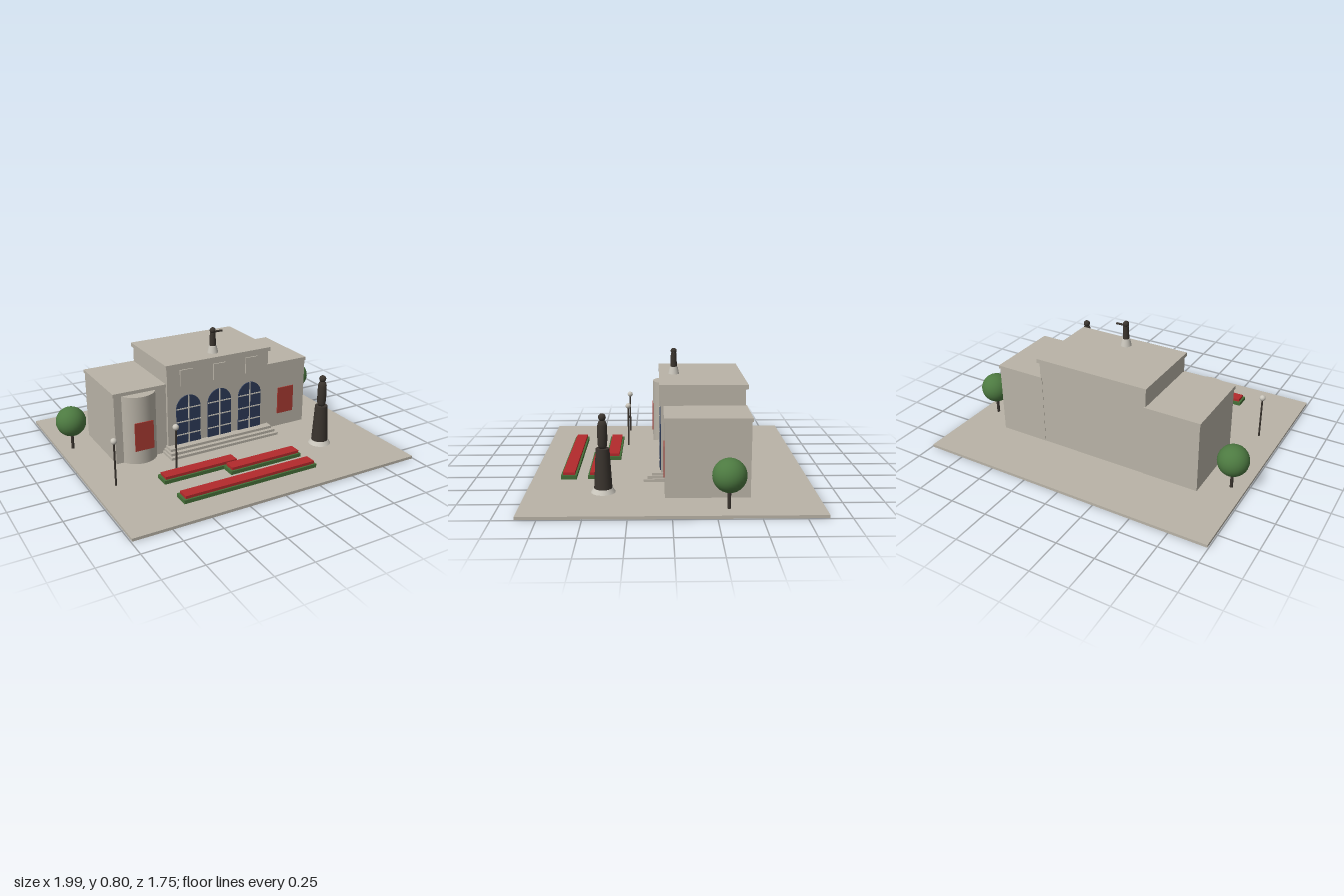
import * as THREE from 'three';

const mat = (name, color) => {
  const m = new THREE.MeshStandardMaterial({ color });
  m.name = name;
  return m;
};

export function createModel() {
  const stone = mat('stone', 0xb9b3a7);
  const paleStone = mat('pale stone', 0xcac6bc);
  const glass = mat('navy glass', 0x2d3b58);
  const bronze = mat('dark bronze', 0x3a342e);
  const banner = mat('banner red', 0xa83a32);
  const flower = mat('flower red', 0xb32a2c);
  const hedge = mat('hedge green', 0x456f38);
  const leaf = mat('leaf green', 0x4d7a41);
  const root = new THREE.Group();
  root.name = 'civicHall';

  const add = (name, geo, material, parent = root) => {
    const m = new THREE.Mesh(geo, material);
    m.name = name;
    parent.add(m);
    return m;
  };
  // Box given by its lower and upper corners
  const box = (name, material, x0, x1, y0, y1, z0, z1, parent = root) => {
    const m = add(name, new THREE.BoxGeometry(x1 - x0, y1 - y0, z1 - z0), material, parent);
    m.position.set((x0 + x1) / 2, (y0 + y1) / 2, (z0 + z1) / 2);
    return m;
  };
  // Upright tapered cylinder from y0 to y1
  const post = (name, material, rTop, rBottom, y0, y1, parent, sides = 24) => {
    const m = add(name, new THREE.CylinderGeometry(rTop, rBottom, y1 - y0, sides), material, parent);
    m.position.y = (y0 + y1) / 2;
    return m;
  };
  const ball = (name, material, r, y, parent) => {
    const m = add(name, new THREE.SphereGeometry(r, 28, 18), material, parent);
    m.position.y = y;
    return m;
  };
  const groupAt = (name, x, z) => {
    const g = new THREE.Group();
    g.name = name;
    g.position.set(x, 0, z);
    root.add(g);
    return g;
  };

  // Plaza
  box('plaza', stone, -0.993, 0.993, 0, 0.018, -0.873, 0.873);

  // Central hall, side wings and their cornices
  box('hall', stone, -0.38, 0.382, 0.018, 0.607, -0.465, 0.06);
  box('hallCornice', stone, -0.39, 0.395, 0.605, 0.632, -0.479, 0.07);
  for (const [side, x0, x1] of [['right', -0.738, -0.37], ['left', 0.37, 0.705]]) {
    box(side + 'Wing', stone, x0, x1, 0.018, 0.48, -0.467, 0.039);
    const out = side === 'right' ? [x0 - 0.006, x1] : [x0, x1 + 0.006];
    box(side + 'WingCornice', stone, out[0], out[1], 0.478, 0.5, -0.473, 0.044);
  }

  // Rounded bay and red banners
  const bay = groupAt('roundedBay', -0.57, -0.018);
  post('bayWall', stone, 0.13, 0.13, 0.018, 0.476, bay, 48);
  box('bayBanner', banner, -0.635, -0.506, 0.115, 0.307, 0.11, 0.117);
  box('wingBanner', banner, 0.483, 0.612, 0.115, 0.307, 0.039, 0.046);

  // Front steps
  [[0.41, 0.168, 0.035], [0.4, 0.143, 0.052], [0.388, 0.115, 0.069]].forEach(([w, z, y], i) =>
    box('step' + (i + 1), stone, -w, w, 0.018, y, 0.03, z));

  // Arched windows with glazing bars, and the panels above
  const r = 0.088, sill = 0.069, spring = 0.318;
  const arch = new THREE.Shape();
  arch.moveTo(-r, sill);
  arch.lineTo(r, sill);
  arch.lineTo(r, spring);
  arch.absarc(0, spring, r, 0, Math.PI, false);
  arch.closePath();
  const paneGeo = new THREE.ExtrudeGeometry(arch, { depth: 0.007, bevelEnabled: false, curveSegments: 24 });
  for (const x of [-0.231, 0.002, 0.237]) {
    const g = groupAt('archedWindow', x, 0.06);
    add('windowPane', paneGeo, glass, g);
    box('verticalBar', paleStone, -0.004, 0.004, sill, spring + r, 0.004, 0.01, g);
    for (const y of [0.135, 0.226, 0.318]) {
      box('horizontalBar', paleStone, -r, r, y - 0.004, y + 0.004, 0.004, 0.01, g);
    }
  }
  for (const x of [-0.242, 0.002, 0.248]) {
    box('facadePanel', stone, x - 0.046, x + 0.046, 0.474, 0.585, 0.06, 0.069);
  }

  // Rooftop statue with outstretched arm
  const roofStatue = groupAt('roofStatue', 0.002, -0.028);
  post('roofPlinth', paleStone, 0.026, 0.036, 0.632, 0.68, roofStatue);
  post('roofFigure', bronze, 0.019, 0.021, 0.68, 0.768, roofStatue);
  ball('roofHead', bronze, 0.02, 0.783, roofStatue);
  const arm = add('roofArm', new THREE.CylinderGeometry(0.007, 0.007, 0.07, 12), bronze, roofStatue);
  arm.rotation.z = Math.PI / 2;
  arm.position.set(0.035, 0.772, 0);

  // Monument on the plaza
  const monument = groupAt('monument', 0.587, 0.408);
  post('monumentBase', paleStone, 0.058, 0.074, 0.018, 0.044, monument, 32);
  post('monumentPedestal', bronze, 0.041, 0.055, 0.044, 0.29, monument);
  const figure = [[0, 0.288], [0.022, 0.292], [0.028, 0.31], [0.03, 0.36], [0.029, 0.43], [0.022, 0.455], [0, 0.464]];
  add('monumentFigure', new THREE.LatheGeometry(figure.map(p => new THREE.Vector2(...p)), 24), bronze, monument);
  ball('monumentHead', bronze, 0.023, 0.48, monument);

  // Lamp posts
  for (const x of [-0.846, -0.437]) {
    const lamp = groupAt('lampPost', x, 0.292);
    post('lampPole', bronze, 0.006, 0.006, 0.018, 0.3, lamp, 12);
    ball('lampGlobe', paleStone, 0.02, 0.313, lamp);
  }

  // Trees
  for (const x of [-0.903, 0.88]) {
    const tree = groupAt('tree', x, -0.323);
    post('treeTrunk', bronze, 0.01, 0.01, 0.018, 0.14, tree, 12);
    ball('treeCrown', leaf, 0.099, 0.214, tree);
  }

  // Flower beds: hedge with blossoms on top
  for (const [x0, x1, z0, z1] of [[-0.585, -0.061, 0.331, 0.43], [-0.171, 0.351, 0.42, 0.521], [-0.585, 0.351, 0.593, 0.693]]) {
    box('bedHedge', hedge, x0, x1, 0.018, 0.042, z0, z1);
    box('bedFlowers', flower, x0 + 0.014, x1 - 0.01, 0.04, 0.06, z0 + 0.012, z1 - 0.012);
  }

  return root;
}
